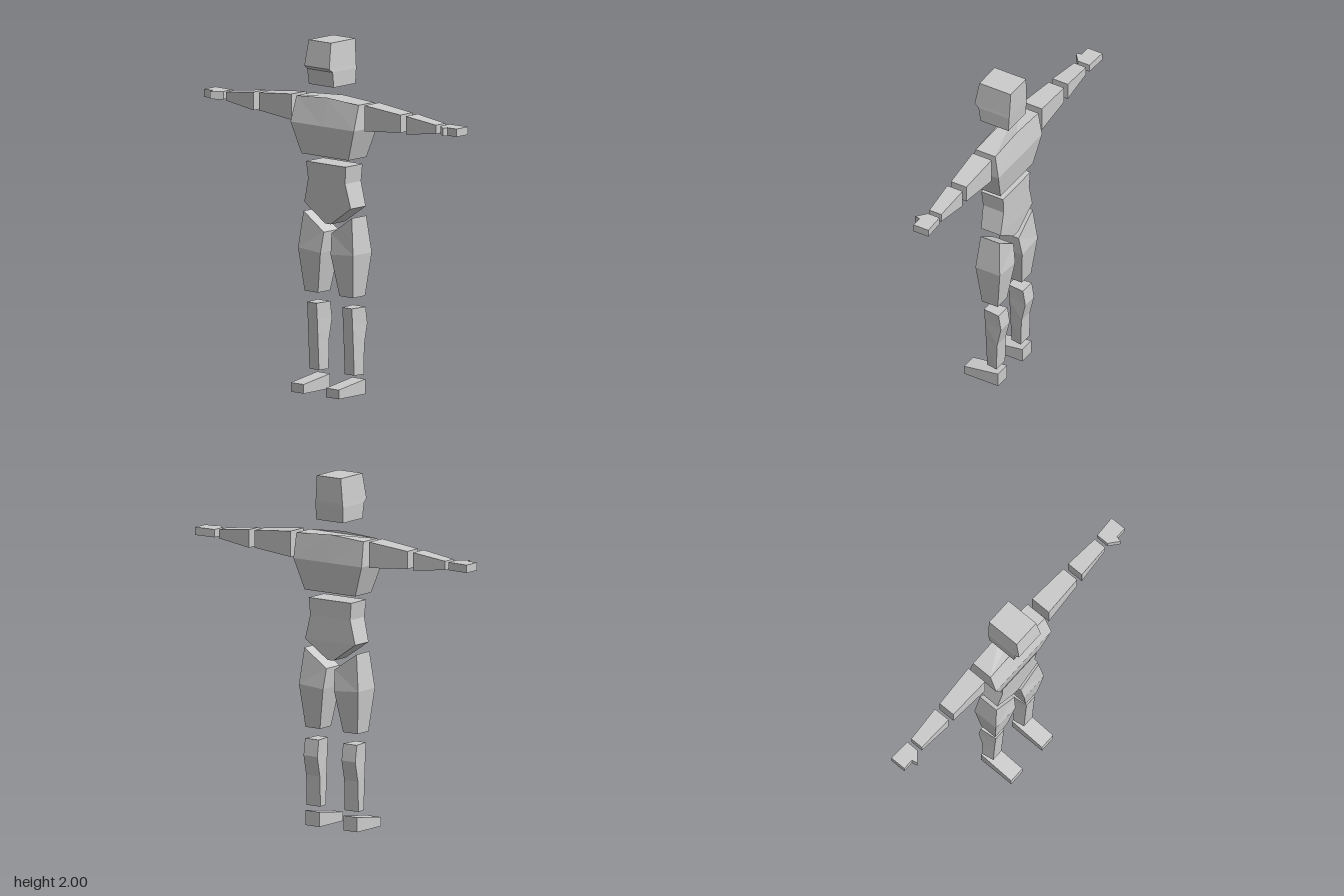
import * as THREE from 'three';

const material = new THREE.MeshStandardMaterial({ color: 0xcccccc, flatShading: true });

// Faceted solid through rings of equal point count, listed along the rings' normal
function loft(rings, mirrored = false) {
  const n = rings[0].length;
  const s = mirrored ? -1 : 1;
  const pos = rings.flat().flatMap(([x, y, z]) => [s * x, y, z]);
  const index = [];
  const tri = (a, b, c) => (mirrored ? index.push(a, c, b) : index.push(a, b, c));
  for (let r = 0; r < rings.length - 1; r++) {
    for (let i = 0; i < n; i++) {
      const a = r * n + i, b = r * n + (i + 1) % n, c = b + n, d = a + n;
      // opposite halves use opposite diagonals, so front and back match
      if (i < n / 2) { tri(a, b, d); tri(b, c, d); }
      else { tri(a, b, c); tri(a, c, d); }
    }
  }
  const last = (rings.length - 1) * n;
  for (let i = 1; i < n - 1; i++) {
    tri(0, i + 1, i);
    tri(last, last + i, last + i + 1);
  }
  const indexed = new THREE.BufferGeometry();
  indexed.setAttribute('position', new THREE.Float32BufferAttribute(pos, 3));
  indexed.setIndex(index);
  const geometry = indexed.toNonIndexed();
  geometry.computeVertexNormals();
  return geometry;
}

// Horizontal ring; the inner and outer edge may differ in height, the front may be narrower
const yRing = (x0, x1, y0, y1, zf, zb, inset = 0) => [
  [x0 + inset, y0, zf], [x1 - inset, y1, zf], [x1, y1, zb], [x0, y0, zb]];

// Upright ring across the arm or foot; the front top edge may be lower
const xRing = (x, y0, y1, zf, zb, yFront = y1) => [
  [x, y0, zf], [x, y0, zb], [x, y1, zb], [x, yFront, zf]];

// Symmetric torso ring with a raised middle
const torsoRing = (x, y, zf, zb, peak = 0) => [
  [-x, y, zf], [0, y + peak, zf], [x, y, zf], [x, y, zb], [0, y + peak, zb], [-x, y, zb]];

export function createModel() {
  const model = new THREE.Group();
  const add = (name, rings, mirrored) => {
    const mesh = new THREE.Mesh(loft(rings, mirrored), material);
    mesh.name = name;
    model.add(mesh);
  };
  const addPair = (name, rings) => {
    add('left' + name, rings, false);
    add('right' + name, rings, true);
  };

  // Head with a projecting brow above the jaw
  add('head', [
    yRing(-0.093, 0.093, 1.747, 1.747, 0.075, -0.107),
    yRing(-0.095, 0.095, 1.835, 1.835, 0.087, -0.112),
    yRing(-0.093, 0.093, 1.855, 1.855, 0.113, -0.113),
    yRing(-0.083, 0.083, 2, 2, 0.088, -0.116),
  ]);

  // Torso
  add('chest', [
    torsoRing(0.175, 1.34, 0.045, -0.105),
    torsoRing(0.236, 1.515, 0.068, -0.128),
    torsoRing(0.232, 1.657, 0.023, -0.105, 0.015),
  ]);
  add('abdomen', [
    torsoRing(0.02, 0.957, 0.02, -0.1),
    torsoRing(0.173, 1.062, 0.023, -0.103),
    torsoRing(0.138, 1.2, 0.031, -0.103),
    torsoRing(0.147, 1.298, 0.037, -0.105),
  ]);

  // Arms
  addPair('UpperArm', [
    xRing(0.272, 1.513, 1.66, 0.018, -0.105),
    xRing(0.528, 1.535, 1.635, 0.005, -0.095),
  ]);
  addPair('Forearm', [
    xRing(0.568, 1.53, 1.633, 0.005, -0.095),
    xRing(0.782, 1.557, 1.607, -0.007, -0.085),
  ]);

  // Flat hands, each with a thumb pointing forwards
  const hand = [[0.81, -0.015], [0.868, 0.033], [0.875, 0], [0.94, 0], [0.94, -0.096], [0.81, -0.09]];
  addPair('Hand', [1.56, 1.605].map((y) => hand.map(([x, z]) => [x, y, z])));

  // Legs
  addPair('Thigh', [
    yRing(0.08, 0.18, 0.557, 0.557, 0.013, -0.09),
    yRing(0.038, 0.205, 0.79, 0.803, 0.04, -0.118),
    yRing(0.028, 0.18, 0.907, 1.01, 0.022, -0.1),
  ]);
  addPair('LowerLeg', [
    yRing(0.084, 0.179, 0.113, 0.113, -0.013, -0.08, 0.012),
    yRing(0.084, 0.179, 0.285, 0.285, -0.005, -0.085, 0.012),
    yRing(0.084, 0.179, 0.4, 0.4, 0.001, -0.11, 0.012),
    yRing(0.084, 0.179, 0.494, 0.494, 0.007, -0.095, 0.012),
  ]);

  // Wedge feet
  addPair('Foot', [
    xRing(0.083, 0, 0.084, 0.13, -0.092, 0.052),
    xRing(0.179, 0, 0.084, 0.13, -0.092, 0.052),
  ]);

  return model;
}
